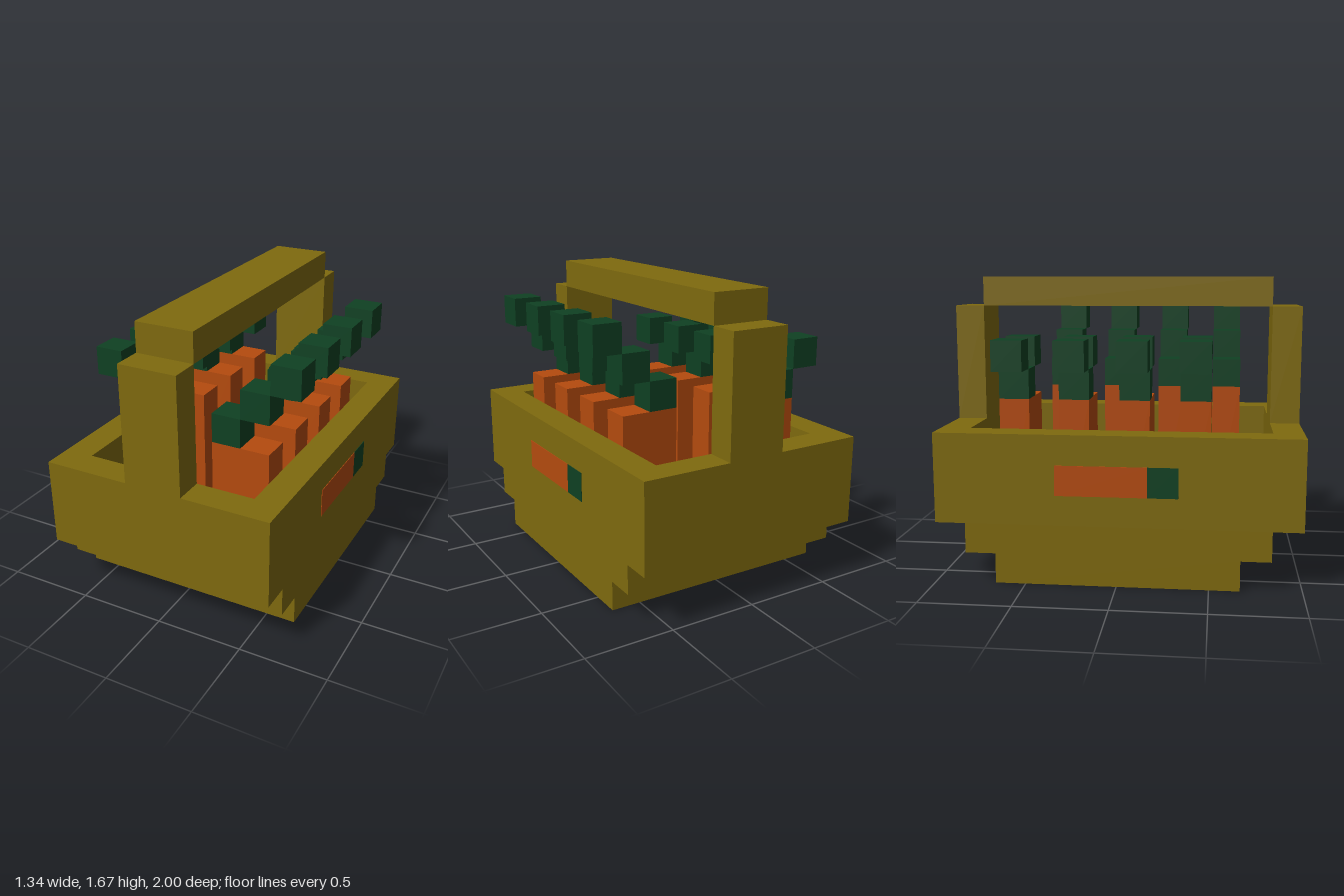
import * as THREE from 'three';

const U = 1 / 6; // one block

function material(name, color) {
  const m = new THREE.MeshStandardMaterial({ color });
  m.name = name;
  return m;
}

export function createModel() {
  const model = new THREE.Group();
  model.name = 'carrotBasket';
  const wicker = material('wicker', 0x7f6a0e);
  const orange = material('carrotOrange', 0xb54b0e);
  const green = material('leafGreen', 0x0f4123);

  // Box given by its limits in blocks
  function block(name, mat, [x0, x1], [y0, y1], [z0, z1], parent = model) {
    const geometry = new THREE.BoxGeometry((x1 - x0) * U, (y1 - y0) * U, (z1 - z0) * U);
    const mesh = new THREE.Mesh(geometry, mat);
    mesh.position.set((x0 + x1) * U / 2, (y0 + y1) * U / 2, (z0 + z1) * U / 2);
    mesh.name = name;
    parent.add(mesh);
    return mesh;
  }

  function rectangle(path, hx, hz) {
    return path.moveTo(-hx * U, -hz * U).lineTo(hx * U, -hz * U)
      .lineTo(hx * U, hz * U).lineTo(-hx * U, hz * U).closePath();
  }

  // Hollow wall layer, one block thick
  function wallLayer(name, y0, y1, halfLength) {
    const shape = rectangle(new THREE.Shape(), 4, halfLength);
    shape.holes.push(rectangle(new THREE.Path(), 3, halfLength - 1));
    const geometry = new THREE.ExtrudeGeometry(shape, { depth: (y1 - y0) * U, bevelEnabled: false });
    geometry.rotateX(-Math.PI / 2);
    const mesh = new THREE.Mesh(geometry, wicker);
    mesh.position.y = y0 * U;
    mesh.name = name;
    model.add(mesh);
  }

  // Basket, stepping outward at both ends
  block('basketFloor', wicker, [-4, 4], [0, 1], [-4, 4]);
  wallLayer('lowerWall', 1, 2, 5);
  wallLayer('upperWall', 2, 5, 6);

  // Handle
  block('frontHandlePost', wicker, [-1, 1], [5, 9], [5, 6]);
  block('backHandlePost', wicker, [-1, 1], [5, 9], [-6, -5]);
  block('handleBar', wicker, [-1, 1], [9, 10], [-5, 5]);

  // Two staggered rows of carrots; leaves are [x, y] block corners
  const rows = [
    { side: 'left', x: [1, 3], z: -3, leaves: [[1, 6], [2, 7], [3, 8]] },
    { side: 'right', x: [-3, -1], z: -4, leaves: [[-4, 7], [-3, 6], [-2, 7]] },
  ];
  for (const row of rows) {
    for (let i = 0; i < 4; i++) {
      const z = row.z + i * 2;
      const carrot = new THREE.Group();
      carrot.name = `${row.side}Carrot${i + 1}`;
      block('carrotRoot', orange, row.x, [1, 6], [z, z + 1], carrot);
      for (const [x, y] of row.leaves) block('carrotLeaf', green, [x, x + 1], [y, y + 1], [z, z + 1], carrot);
      model.add(carrot);
    }
  }

  // Painted carrot on each long side, turned half round for the other side
  for (const [name, turn] of [['leftEmblem', 0], ['rightEmblem', Math.PI]]) {
    const emblem = new THREE.Group();
    emblem.name = name;
    block('emblemRoot', orange, [4, 4.02], [3, 4], [-1, 2], emblem);
    block('emblemLeaf', green, [4, 4.02], [3, 4], [-2, -1], emblem);
    emblem.rotation.y = turn;
    model.add(emblem);
  }

  return model;
}
